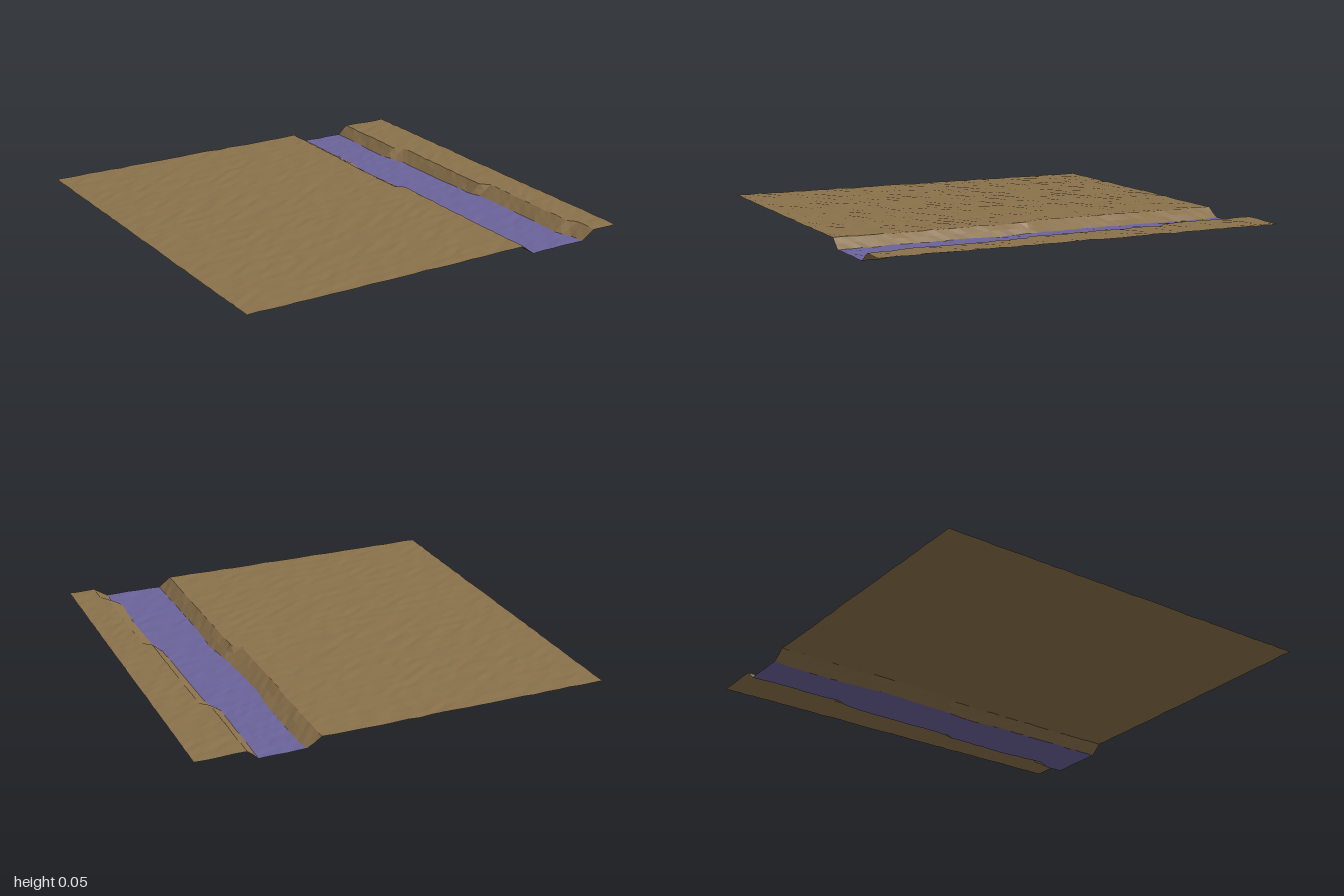
import * as THREE from 'three';

const STEP = 0.04, ROWS = 50;

// Seeded height ripple, the same for any two parts sharing a point
const ripple = (x, z) => {
  const s = Math.sin(Math.round(x * 1000) * 12.9898 + Math.round(z * 1000) * 78.233) * 43758.5453;
  return (s - Math.floor(s)) * 2 - 1;
};

// Piecewise linear line: x as a function of z
const line = (points) => (z) => {
  for (let i = 1; i < points.length; i++) {
    const [z0, x0] = points[i - 1], [z1, x1] = points[i];
    if (z <= z1) return x0 + (x1 - x0) * (z - z0) / (z1 - z0);
  }
  return points[points.length - 1][1];
};

// Lines running from back to front
const outerRight = () => -1;
const outerLeft = () => 1;
const bankTopA = line([[-1, 0.415], [-0.52, 0.415], [-0.48, 0.41], [0, 0.41], [0.04, 0.45], [1, 0.45]]);
const waterA = line([[-1, 0.485], [-0.92, 0.495], [-0.52, 0.495], [-0.4, 0.48], [-0.24, 0.485], [0, 0.5], [0.16, 0.517], [0.4, 0.508], [1, 0.51]]);
const waterB = line([[-1, 0.71], [-0.6, 0.705], [-0.52, 0.705], [-0.4, 0.74], [0, 0.745], [0.2, 0.75], [0.24, 0.77], [0.6, 0.776], [0.84, 0.765], [0.92, 0.8], [1, 0.8]]);
const bankTopB = line([[-1, 0.76], [-0.52, 0.76], [-0.48, 0.8], [0.2, 0.8], [0.24, 0.84], [0.84, 0.84], [0.88, 0.87], [1, 0.87]]);

const HIGH = 0.047, LOW = 0.003;

// Ground strip between two lines, with a height on each side
function strip(name, lineA, lineB, yA, yB, columns, material) {
  const geometry = new THREE.PlaneGeometry(1, 1, columns, ROWS);
  const p = geometry.attributes.position;
  for (let i = 0; i < p.count; i++) {
    const t = (i % (columns + 1)) / columns;
    const z = -1 + Math.floor(i / (columns + 1)) * STEP;
    const x = lineA(z) * (1 - t) + lineB(z) * t;
    const y = yA * (1 - t) + yB * t;
    p.setXYZ(i, x, y + ripple(x, z) * 0.0025, z);
  }
  geometry.computeVertexNormals();
  const mesh = new THREE.Mesh(geometry, material);
  mesh.name = name;
  return mesh;
}

export function createModel() {
  const earth = new THREE.MeshStandardMaterial({ color: 0x8a714b, flatShading: true, side: THREE.DoubleSide });
  earth.name = 'brown earth';
  const water = new THREE.MeshStandardMaterial({ color: 0x6b639a, flatShading: true, side: THREE.DoubleSide });
  water.name = 'violet water';

  const model = new THREE.Group();
  model.name = 'terrainWithStream';
  model.add(
    strip('wideField', outerRight, bankTopA, HIGH, HIGH, 24, earth),
    strip('wideFieldBank', bankTopA, waterA, HIGH, LOW, 2, earth),
    strip('stream', waterA, waterB, LOW, LOW, 5, water),
    strip('narrowFieldBank', waterB, bankTopB, LOW, HIGH, 2, earth),
    strip('narrowField', bankTopB, outerLeft, HIGH, HIGH, 4, earth),
  );
  return model;
}
